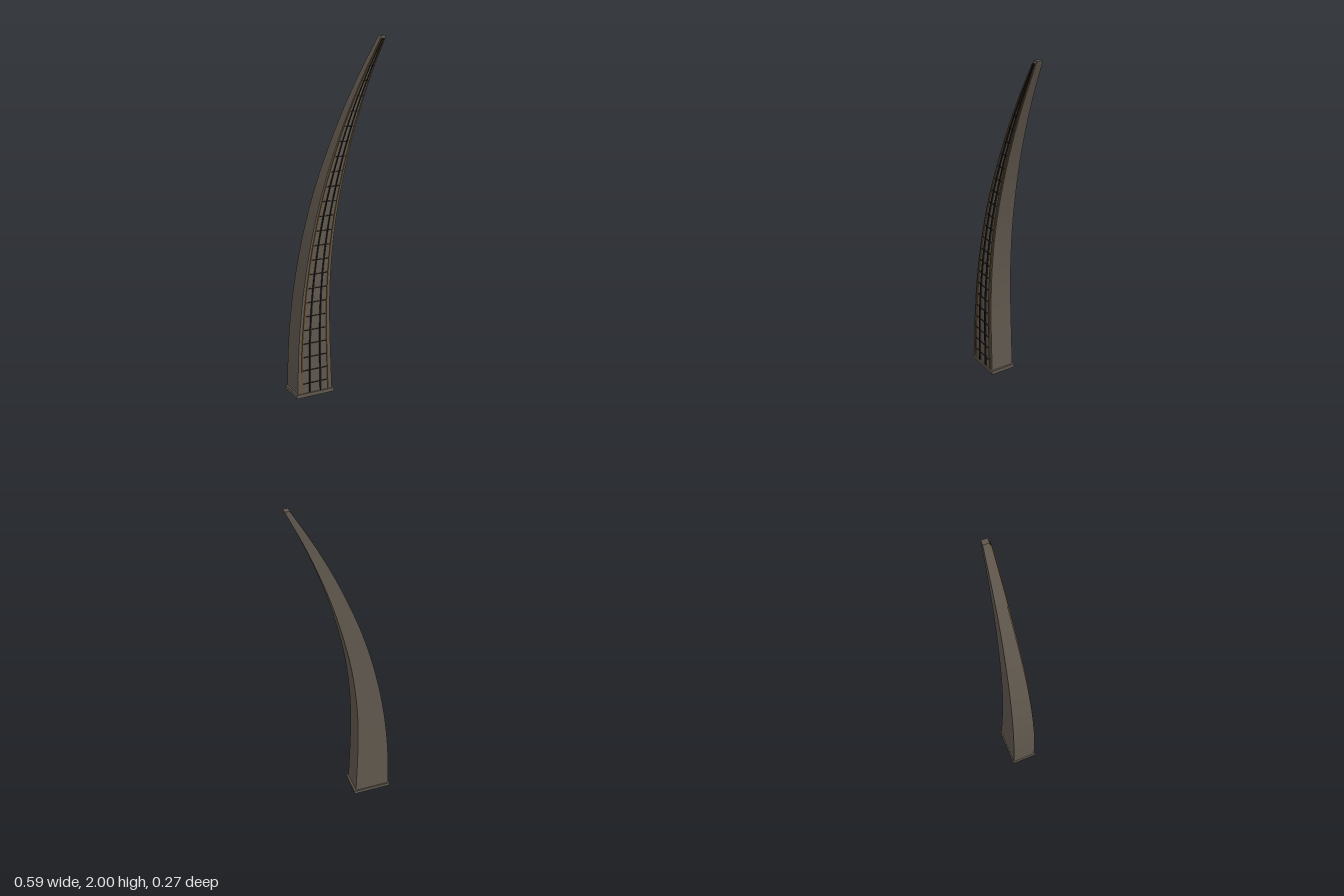
import * as THREE from 'three';

const HEIGHT = 2;

// Tower profile at equal height steps: outer edge, inner edge, half depth
const profile = new THREE.CatmullRomCurve3([
  [-0.108, 0.107, 0.0715], [-0.104, 0.100, 0.071], [-0.091, 0.095, 0.069],
  [-0.068, 0.097, 0.0655], [-0.034, 0.111, 0.061], [0.011, 0.138, 0.055],
  [0.069, 0.180, 0.048], [0.142, 0.233, 0.040], [0.227, 0.299, 0.032],
  [0.327, 0.377, 0.0245], [0.440, 0.468, 0.0175],
].map((p) => new THREE.Vector3(...p)), false, 'catmullrom', 0.5);

function sectionAt(y) {
  const p = profile.getPoint(y / HEIGHT);
  return { mid: (p.x + p.y) / 2, half: (p.y - p.x) / 2, depth: p.z };
}

// Four-sided column with smooth runs and sharp corners; rect(y) gives [x0, x1, z0, z1]
function column(y0, y1, steps, rect) {
  const pos = [], index = [];
  const ring = (y) => {
    const [x0, x1, z0, z1] = rect(y);
    return [[x0, y, z1], [x1, y, z1], [x1, y, z0], [x0, y, z0]];
  };
  for (let side = 0; side < 4; side++) {
    const start = pos.length / 3;
    for (let i = 0; i <= steps; i++) {
      const r = ring(y0 + (y1 - y0) * i / steps);
      pos.push(...r[side], ...r[(side + 1) % 4]);
      if (i < steps) {
        const a = start + i * 2;
        index.push(a, a + 1, a + 3, a, a + 3, a + 2);
      }
    }
  }
  // End caps
  for (const [y, up] of [[y0, false], [y1, true]]) {
    const a = pos.length / 3;
    ring(y).forEach((c) => pos.push(...c));
    if (up) index.push(a, a + 1, a + 2, a, a + 2, a + 3);
    else index.push(a, a + 2, a + 1, a, a + 3, a + 2);
  }
  const g = new THREE.BufferGeometry();
  g.setAttribute('position', new THREE.Float32BufferAttribute(pos, 3));
  g.setIndex(index);
  g.computeVertexNormals();
  return g;
}

function material(name, color) {
  const m = new THREE.MeshStandardMaterial({ color });
  m.name = name;
  return m;
}

export function createModel() {
  const stone = material('brown stone', 0x5f574d);
  const dark = material('dark metal', 0x1e1c1a);
  const bronze = material('bronze trim', 0x6a5030);

  const model = new THREE.Group();
  model.name = 'curvedTower';
  const tower = new THREE.Group();
  tower.name = 'tower';
  tower.position.set(-0.1575, 0, -0.0268);
  tower.rotation.y = -0.306;
  model.add(tower);

  const add = (name, geometry, mat, parent = tower) => {
    const mesh = new THREE.Mesh(geometry, mat);
    mesh.name = name;
    parent.add(mesh);
    return mesh;
  };

  // Plinth and tapering body
  add('plinth', new THREE.BoxGeometry(0.235, 0.022, 0.157), stone).position.y = 0.011;
  add('body', column(0.01, HEIGHT, 50, (y) => {
    const s = sectionAt(y);
    return [s.mid - s.half, s.mid + s.half, -s.depth, s.depth];
  }), stone);

  // Upright ribs on the front, following the curve
  const facade = new THREE.Group();
  facade.name = 'facade';
  tower.add(facade);
  const rib = (name, across, width, out, mat) => add(name, column(0.022, 1.985, 50, (y) => {
    const s = sectionAt(y);
    const x = s.mid + across * s.half;
    const w = width * (0.25 + 0.75 * s.half / 0.108) / 2;
    return [x - w, x + w, s.depth - 0.002, s.depth + out];
  }), mat, facade);
  for (const side of [-1, 1]) {
    rib('mullion', side * 0.32, 0.009, 0.007, dark);
    rib('edgeTrim', side * 0.78, 0.008, 0.006, bronze);
  }

  // Floor bars between the edge trims
  for (let k = 1; k < 25; k++) {
    const y = k * 0.08, s = sectionAt(y);
    const bar = add('floorBar', new THREE.BoxGeometry(s.half * 1.56, 0.005, 0.008), dark, facade);
    bar.position.set(s.mid, y, s.depth);
  }
  return model;
}
